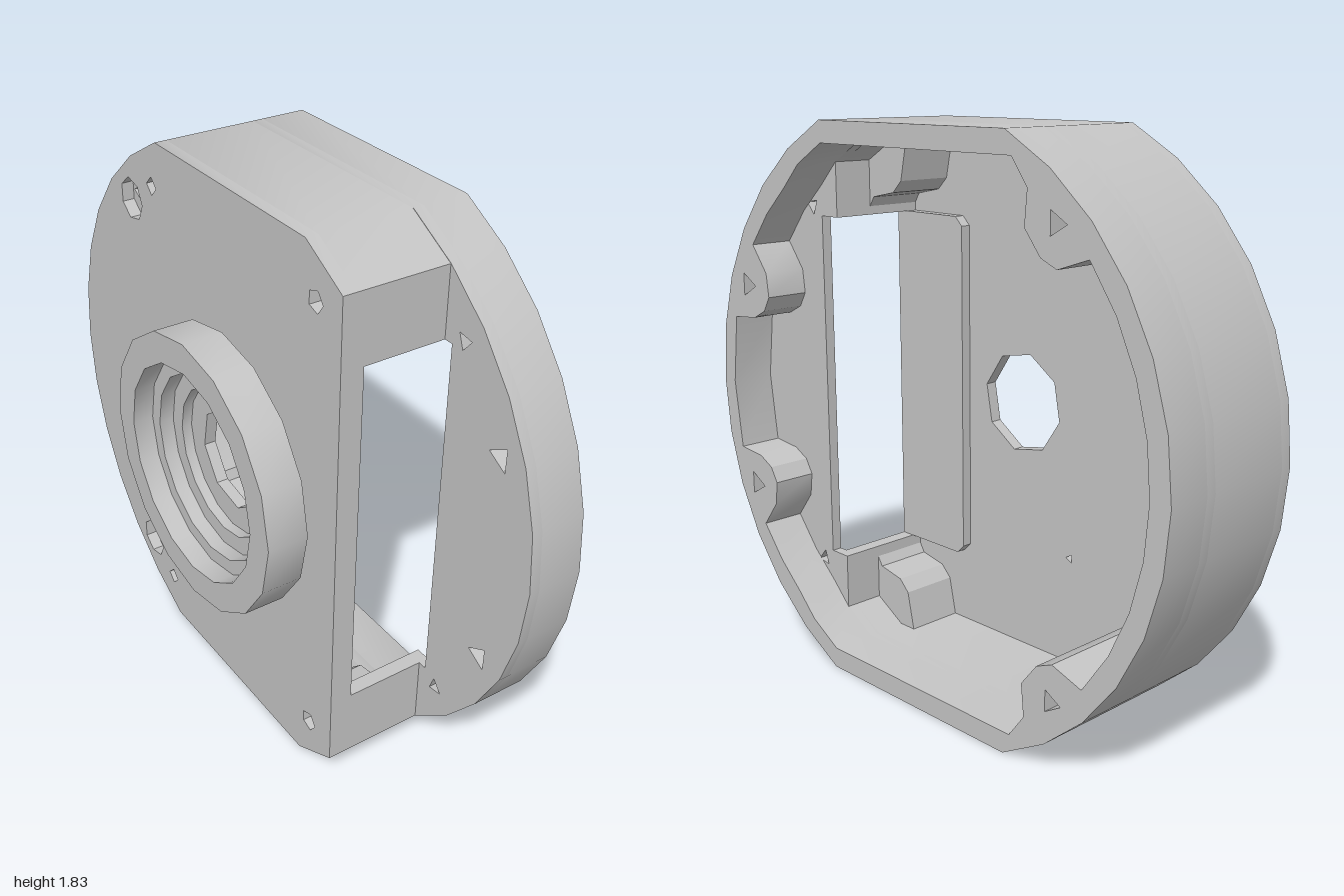
import * as THREE from 'three';
import { toCreasedNormals } from 'three/addons/utils/BufferGeometryUtils.js';

const CY = 0.915; // height of the housing axis

// Points are [z, y]; the profile is extruded along x.
const flip = ([z, y]) => [z, 2 * CY - y];
const mirrored = (pts) => pts.map(flip).reverse();

// All loops run counter-clockwise so that every wall faces outwards
function toVec(pts) {
  const v = pts.map(([z, y]) => new THREE.Vector2(-z, y));
  return THREE.ShapeUtils.isClockWise(v) ? v.reverse() : v;
}

function arc(r, fromDeg, toDeg, n, z0 = 0, y0 = CY) {
  return Array.from({ length: n + 1 }, (_, i) => {
    const a = THREE.MathUtils.degToRad(fromDeg + ((toDeg - fromDeg) * i) / n);
    return [z0 + r * Math.cos(a), y0 + r * Math.sin(a)];
  });
}

const polygon = (z, y, r, sides, turn = 0) =>
  arc(r, turn, turn + 360, sides, z, y).slice(0, sides);

export function createModel() {
  const group = new THREE.Group();
  const grey = new THREE.MeshStandardMaterial({ color: 0xc4c4c4 });
  grey.name = 'grey';

  function add(name, geometry) {
    const mesh = new THREE.Mesh(toCreasedNormals(geometry, 0.55), grey);
    mesh.name = name;
    group.add(mesh);
    return mesh;
  }

  function slab(name, x0, x1, outline, holes = []) {
    const shape = new THREE.Shape(toVec(outline));
    holes.forEach((h) => shape.holes.push(new THREE.Path(toVec(h))));
    const mesh = add(name, new THREE.ExtrudeGeometry(shape, { depth: x1 - x0, bevelEnabled: false }));
    mesh.rotation.y = Math.PI / 2;
    mesh.position.x = x0;
  }

  // Outer outlines: the full rim, and the back part cut flat at the front
  const backArc = arc(1, 113.8, 246.2, 12);
  const rim = [...arc(1, -66.2, 66.2, 12), ...backArc];
  const cutOutline = [[0.57, 1.735], ...backArc, [0.57, 0.095]];
  cutOutline.splice(1, 0, [0.4, 1.83]);
  cutOutline.splice(-1, 0, [0.4, 0]);

  // Inner cavity with the tall rear corner bosses
  const cavityTop = [[0.52, 1.69], [0.4, 1.76], [-0.43, 1.76], [-0.49, 1.68],
    [-0.48, 1.575], [-0.54, 1.5], [-0.6, 1.475]];
  const cavity = [...cavityTop, ...arc(0.93, 140, 220, 8), ...mirrored(cavityTop)];

  // Front part of the cavity, passing round the two side bosses
  const frontTop = [[0.91, 1.15], [0.8, 1.16], [0.74, 1.19], [0.71, 1.24],
    [0.72, 1.32], [0.79, 1.41], [0.7, 1.52], [0.6, 1.61]];
  const rimCavity = [...mirrored(frontTop), [0.94, CY], ...frontTop, ...cavity];

  // Screw holes
  const both = (h) => [h, h.map(flip)];
  const rearScrews = both(polygon(-0.595, 1.595, 0.04, 3, 180));
  const sideScrews = both(polygon(0.83, 1.27, 0.045, 3, 60));
  const frontScrews = both(polygon(0.65, 1.54, 0.03, 3, 20));
  const counterbores = both(polygon(-0.58, 1.59, 0.07, 7));
  const pinHoles = [...both(polygon(0.45, 1.67, 0.035, 5)), ...both(polygon(-0.44, 1.68, 0.03, 4))];
  const ventHole = polygon(-0.22, 0.435, 0.016, 3);
  const bore = polygon(0, 0.92, 0.17, 8, 12);

  // Back plate, which is also the cavity floor
  slab('backPlate', -0.19, -0.15, cutOutline, [bore, ventHole, ...counterbores, ...pinHoles]);

  // Raised pad leading to the front window
  slab('windowPad', -0.15, -0.115,
    [[0.57, 0.33], [0.57, 1.51], [0.28, 1.51], [0.25, 1.48], [0.25, 0.36], [0.28, 0.33]]);

  // Side wall, open at the front window
  slab('sideWall', -0.15, 0.155,
    [[0.57, 1.51], ...cutOutline, [0.57, 0.33], [0.52, 0.33], ...[...cavity].reverse(), [0.52, 1.51]],
    rearScrews);

  // Front flange and the full rim above it
  slab('frontFlange', 0.155, 0.19, rim,
    [[...cavity, [0.52, 0.33], [0.6, 0.33], [0.6, 1.51], [0.52, 1.51]],
      ...rearScrews, ...sideScrews, ...frontScrews]);
  slab('rim', 0.19, 0.34, rim, [rimCavity, ...rearScrews, ...sideScrews]);

  // Low corner bosses inside the cavity
  const rearBoss = [[-0.34, 1.77], [-0.37, 1.63], [-0.48, 1.575], [-0.5, 1.68], [-0.43, 1.77]];
  const frontBoss = [[0.33, 1.77], [0.36, 1.63], [0.4, 1.59], [0.5, 1.57], [0.525, 1.53],
    [0.525, 1.69], [0.4, 1.77]];
  both(rearBoss).forEach((b) => slab('rearLowBoss', -0.15, 0.05, b));
  both(frontBoss).forEach((b) => slab('frontLowBoss', -0.15, 0.05, b));

  // Hub ring with a narrower neck and a stepped bore
  const hubProfile = [[0.25, -0.19], [0.25, -0.225], [0.31, -0.225], [0.31, -0.275], [0.36, -0.275],
    [0.36, -0.345], [0.46, -0.345], [0.46, -0.21], [0.4, -0.21], [0.4, -0.19]]
    .map(([r, x]) => new THREE.Vector2(r, x));
  const hub = add('hub', new THREE.LatheGeometry(hubProfile, 16));
  hub.rotation.z = -Math.PI / 2;
  hub.position.y = 0.92;

  return group;
}
